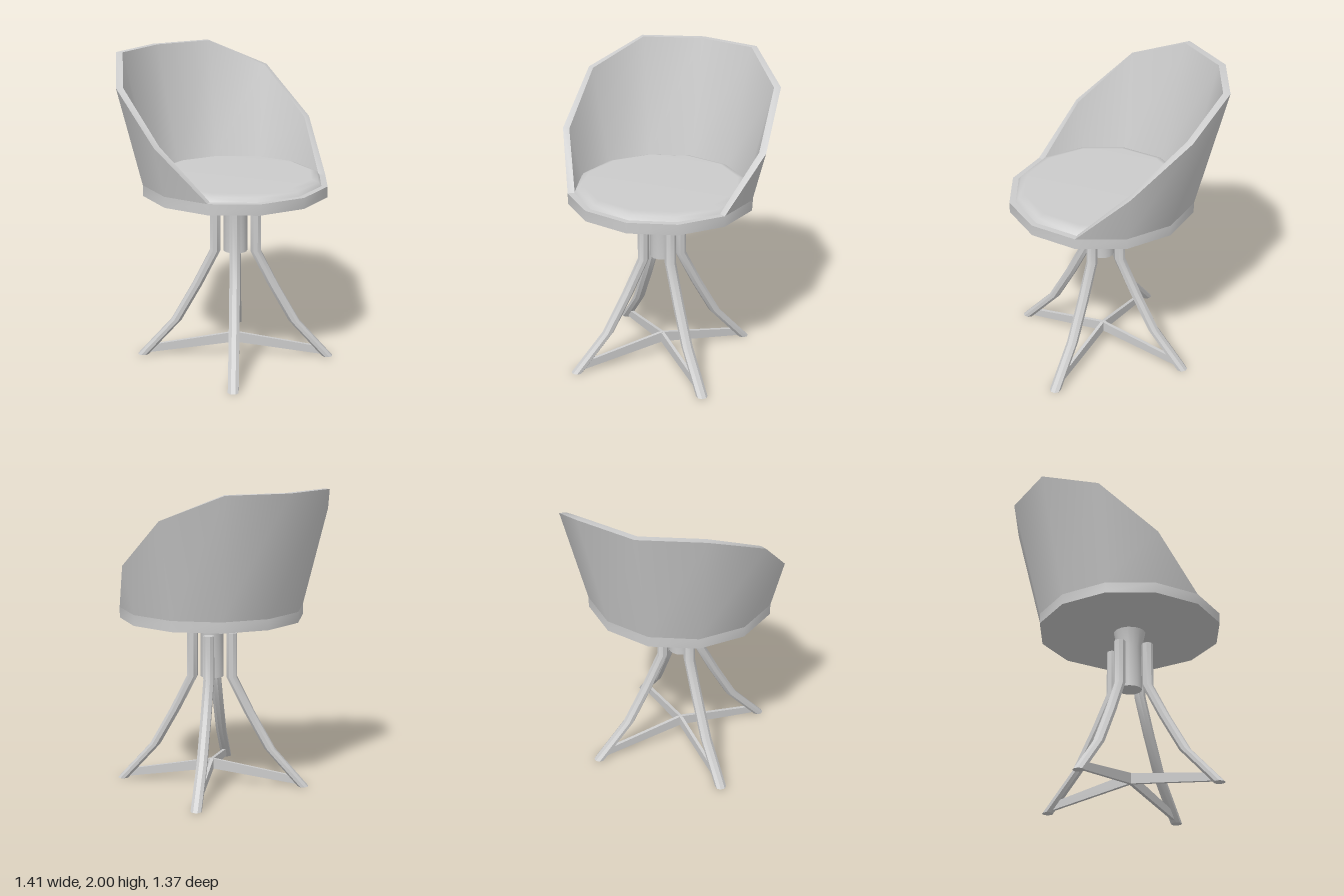
import * as THREE from 'three';
import { toCreasedNormals } from 'three/addons/utils/BufferGeometryUtils.js';

const CENTRE_X = 0.1;
const material = new THREE.MeshStandardMaterial({ color: 0xcccccc });

function part(name, geometry) {
  const mesh = new THREE.Mesh(geometry, material);
  mesh.name = name;
  return mesh;
}

// Joins a row of equal closed cross-sections and caps both ends
function loft(sections, crease = 0.6) {
  const n = sections[0].length;
  const last = sections.length - 1;
  const index = [];
  for (let i = 0; i < last; i++) {
    for (let j = 0; j < n; j++) {
      const k = (j + 1) % n;
      const a = i * n + j, b = i * n + k, c = b + n, d = a + n;
      index.push(a, b, d, b, c, d);
    }
  }
  for (let j = 1; j < n - 1; j++) {
    index.push(0, j + 1, j, last * n, last * n + j, last * n + j + 1);
  }
  const geometry = new THREE.BufferGeometry();
  geometry.setAttribute('position', new THREE.Float32BufferAttribute(sections.flat(2), 3));
  geometry.setIndex(index);
  return toCreasedNormals(geometry, crease);
}

// Flaring backrest: 12-sided wall that rises from the arms to the back
function backrestGeometry() {
  const base = 1.21, slope = 0.25, outer = 0.605, inner = 0.56;
  const heights = [0, 0.32, 0.63, 0.79, 0.79, 0.79, 0.63, 0.32, 0];
  return loft(heights.map((h, i) => {
    const angle = (i + 2) * Math.PI / 6;
    const point = (r, y) => [r * Math.cos(angle), y, r * Math.sin(angle)];
    return [
      point(outer, base),
      point(outer + slope * h, base + h),
      point(inner + slope * h, base + h),
      point(inner, base),
    ];
  }));
}

// Octagonal leg, upright beside the post and then splayed outward
function legGeometry() {
  const path = [[0.132, 1.03], [0.132, 0.735], [0.25, 0.5], [0.39, 0.25], [0.615, 0]];
  return loft(path.map(([out, y]) => Array.from({ length: 8 }, (_, j) => {
    const angle = (j + 0.5) * Math.PI / 4;
    return [out + 0.037 * Math.cos(angle), y, 0.037 * Math.sin(angle)];
  })), 0.5);
}

// Thin upright plate sloping from the centre down to a foot
function braceGeometry() {
  const shape = new THREE.Shape([
    new THREE.Vector2(0, 0.095),
    new THREE.Vector2(0.6, 0.01),
    new THREE.Vector2(0.57, 0.065),
    new THREE.Vector2(0, 0.165),
  ]);
  const thickness = 0.022;
  return new THREE.ExtrudeGeometry(shape, { depth: thickness, bevelEnabled: false })
    .translate(0, 0, -thickness / 2);
}

function lathe(profile, sides) {
  return new THREE.LatheGeometry(profile.map(([r, y]) => new THREE.Vector2(r, y)), sides);
}

export function createModel() {
  const model = new THREE.Group();
  model.name = 'swivelChair';
  const chair = new THREE.Group();
  chair.name = 'chair';
  chair.position.x = CENTRE_X;
  model.add(chair);

  // Seat
  const seat = new THREE.CylinderGeometry(0.605, 0.605, 0.07, 12).translate(0, 1.175, 0);
  chair.add(part('seatBase', toCreasedNormals(seat, 0.6)));
  chair.add(part('cushion', lathe([[0.565, 1.21], [0.545, 1.235], [0.5, 1.25], [0, 1.25]], 12)));
  chair.add(part('backrest', backrestGeometry()));

  // Post with a flared top
  const post = lathe([[0, 0.735], [0.078, 0.735], [0.078, 1.02], [0.105, 1.14]], 16);
  chair.add(part('post', toCreasedNormals(post, 0.6)));

  // Four diagonal legs, each tied to the centre by a brace
  const leg = legGeometry();
  const brace = braceGeometry();
  for (let i = 0; i < 4; i++) {
    const side = new THREE.Group();
    side.name = 'legAssembly';
    side.rotation.y = Math.PI / 4 + i * Math.PI / 2;
    side.add(part('leg', leg), part('brace', brace));
    chair.add(side);
  }
  return model;
}
